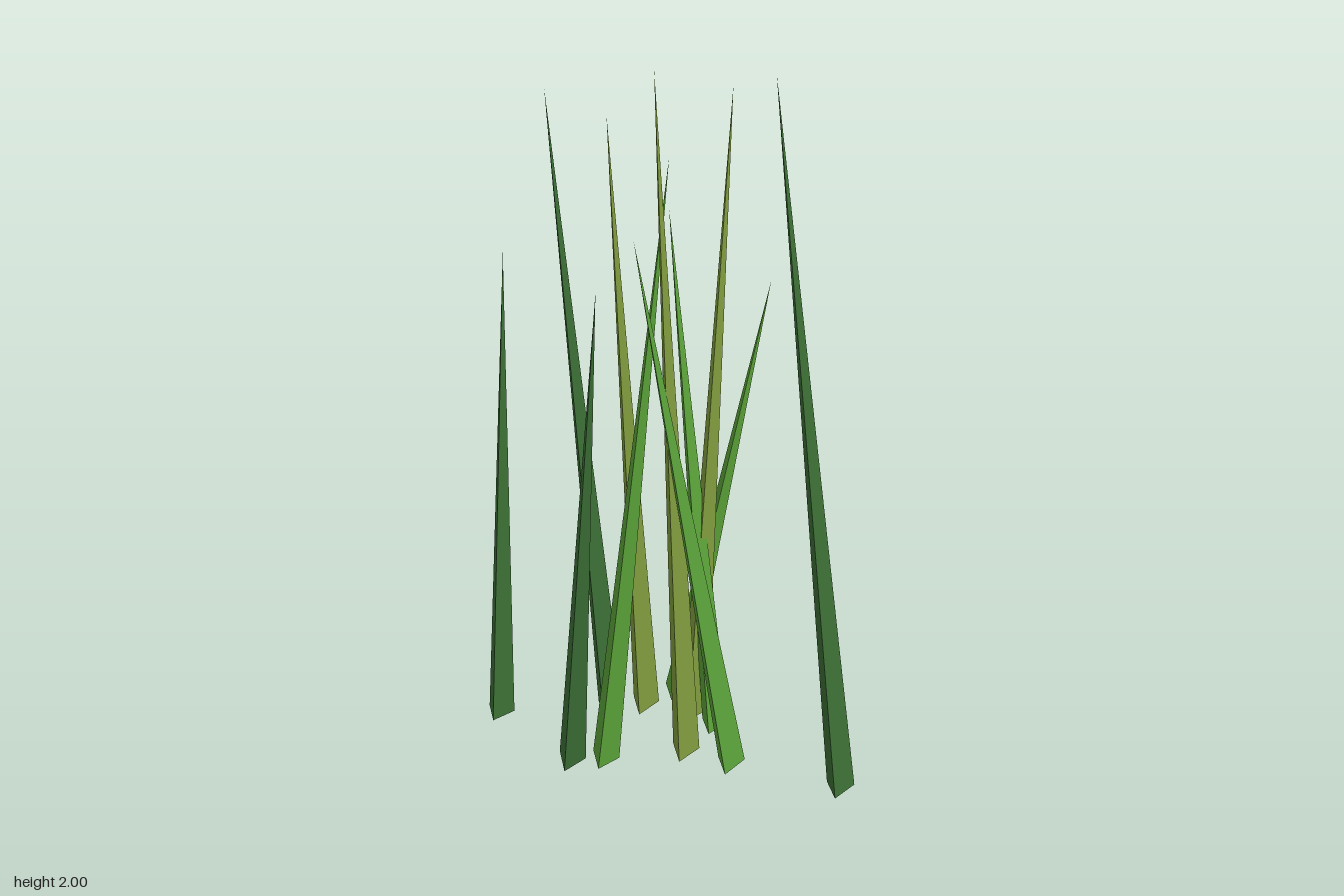
import * as THREE from 'three';

const UP = new THREE.Vector3(0, 1, 0);
const BASE_Y = 0.008;
const RADIUS = 0.0435;

const makeMaterial = (color) => new THREE.MeshStandardMaterial({ color, flatShading: true });

// A tapering three-sided blade that leans from its base centre to its tip
function makeBlade([baseX, baseZ, tipX, tipY, tipZ], material) {
  const base = new THREE.Vector3(baseX, BASE_Y, baseZ);
  const axis = new THREE.Vector3(tipX, tipY, tipZ).sub(base);
  const length = axis.length();
  const geometry = new THREE.ConeGeometry(RADIUS, length, 3, 1, false, Math.PI);
  geometry.translate(0, length / 2, 0);
  const blade = new THREE.Mesh(geometry, material);
  blade.position.copy(base);
  blade.quaternion.setFromUnitVectors(UP, axis.normalize());
  return blade;
}

export function createModel() {
  const group = new THREE.Group();
  group.name = 'grassTuft';

  // Each blade: base x, base z, tip x, tip y, tip z
  const tufts = [
    {
      name: 'darkBlade', color: 0x3d7036,
      blades: [
        [-0.271, -0.425, -0.157, 1.38, -0.455],
        [-0.030, -0.232, -0.180, 1.87, -0.237],
        [-0.257, -0.130, -0.314, 1.51, 0.090],
        [0.198, 0.443, 0.075, 1.97, 0.255],
      ],
    },
    {
      name: 'greenBlade', color: 0x5ca53a,
      blades: [
        [0.160, -0.157, 0.312, 1.32, 0.027],
        [-0.186, -0.072, -0.105, 1.78, 0.105],
        [0.053, 0.173, -0.182, 1.59, 0.070],
        [0.135, 0.023, 0.082, 1.54, -0.100],
      ],
    },
    {
      name: 'oliveBlade', color: 0x83a03f,
      blades: [
        [0.055, -0.177, -0.138, 1.84, -0.068],
        [-0.002, 0.051, -0.162, 2.0, 0.120],
        [0.135, -0.060, 0.153, 1.87, 0.042],
      ],
    },
  ];

  for (const { name, color, blades } of tufts) {
    const material = makeMaterial(color);
    blades.forEach((data, i) => {
      const blade = makeBlade(data, material);
      blade.name = `${name}${i + 1}`;
      group.add(blade);
    });
  }
  return group;
}
